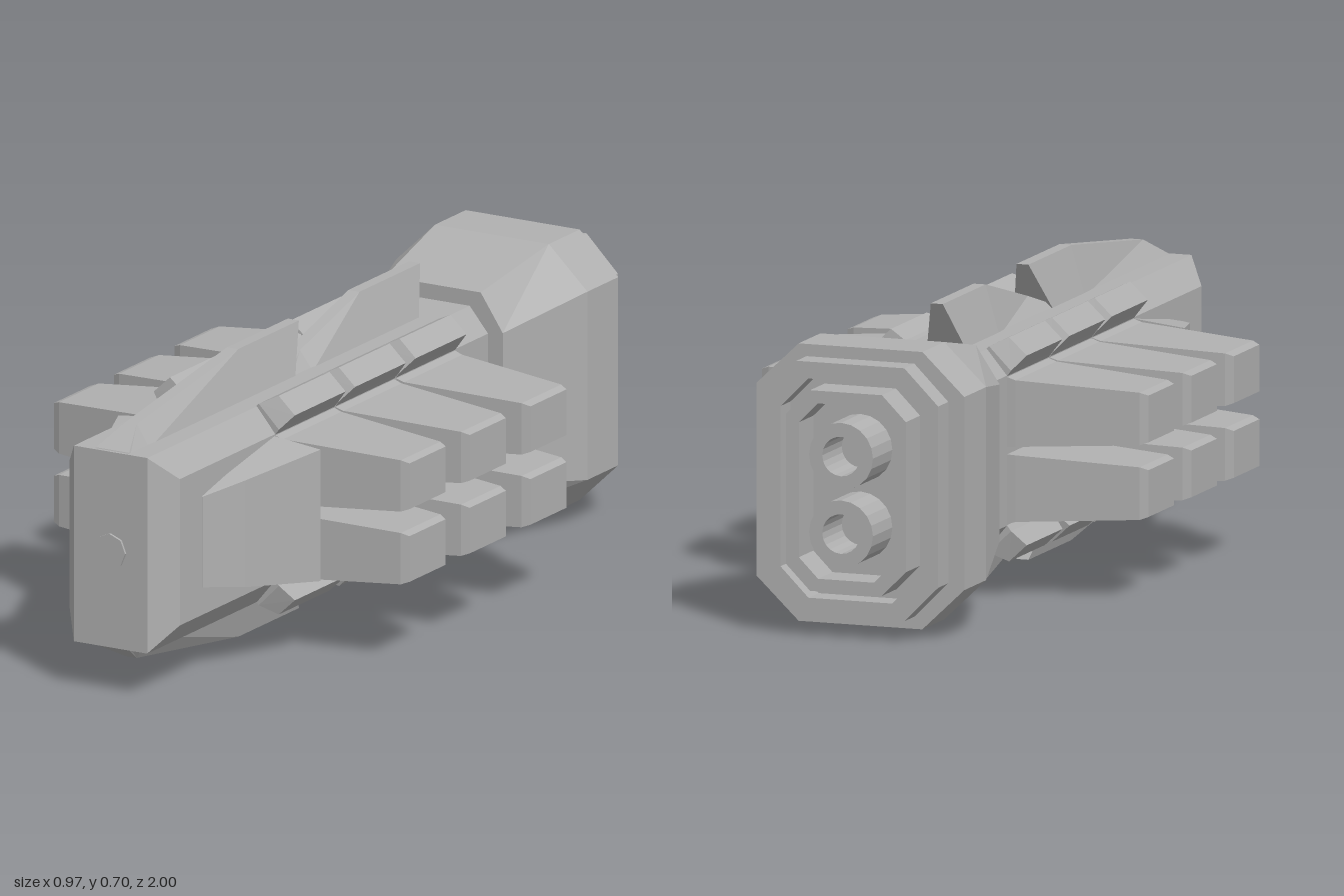
import * as THREE from 'three';

const CY = 0.355; // height of the long axis
const hullGrey = new THREE.MeshStandardMaterial({ color: 0xb0b0b0, flatShading: true });
hullGrey.name = 'hull grey';

// Skin a row of matching convex sections, close both ends, and face it outwards
function loft(sections) {
  const tris = [];
  const n = sections[0].length;
  for (let s = 0; s < sections.length - 1; s++) {
    const a = sections[s], b = sections[s + 1];
    for (let i = 0; i < n; i++) {
      const j = (i + 1) % n;
      tris.push([a[i], a[j], b[j]], [a[i], b[j], b[i]]);
    }
  }
  const first = sections[0], last = sections[sections.length - 1];
  for (let i = 1; i < n - 1; i++) {
    tris.push([first[0], first[i + 1], first[i]], [last[0], last[i], last[i + 1]]);
  }
  const v = (p) => new THREE.Vector3(...p);
  const origin = v(first[0]);
  let volume = 0;
  for (const [a, b, c] of tris) {
    volume += v(a).sub(origin).dot(v(b).sub(origin).cross(v(c).sub(origin)));
  }
  if (volume < 0) tris.forEach((t) => t.reverse());
  const g = new THREE.BufferGeometry();
  g.setAttribute('position', new THREE.Float32BufferAttribute(tris.flat(2), 3));
  g.computeVertexNormals();
  return g;
}

// Chamfered rectangle outline around the origin
const octagon = (w, h, cx, cy) => [
  [w, -h + cy], [w, h - cy], [w - cx, h], [-w + cx, h],
  [-w, h - cy], [-w, -h + cy], [-w + cx, -h], [w - cx, -h],
];
const octSection = (z, ...size) => octagon(...size).map(([x, y]) => [x, CY + y, z]);

// Ring running between two z values
function ringGeometry(outer, hole, z0, z1) {
  outer.holes.push(hole);
  const g = new THREE.ExtrudeGeometry(outer, { depth: z1 - z0, bevelEnabled: false, curveSegments: 10 });
  return g.translate(0, CY, z0);
}
const octShape = (...size) => new THREE.Shape(octagon(...size).map((p) => new THREE.Vector2(...p)));

export function createModel() {
  const model = new THREE.Group();
  const add = (name, geometry) => {
    const mesh = new THREE.Mesh(geometry, hullGrey);
    mesh.name = name;
    model.add(mesh);
    return mesh;
  };
  // Mirror a list of sections across x and around the long axis
  const mirror = (sections, sx, sy) =>
    sections.map((s) => s.map(([x, y, z]) => [x * sx, CY + y * sy, z]));

  // Hull with a tapered prow
  add('hull', loft([
    octSection(-0.5, 0.15, 0.238, 0.05, 0.06),
    octSection(0.93, 0.15, 0.238, 0.05, 0.06),
    octSection(0.994, 0.1, 0.238, 0.0005, 0.0005),
  ]));

  // Bow port
  const port = add('bowPort', new THREE.CylinderGeometry(0.043, 0.043, 0.012, 8).rotateX(Math.PI / 2));
  port.position.set(0, 0.352, 0.994);

  // Fins above and below: [base z, top z, top height, top half width]
  const fins = {
    frontFin: [[0.99, 0.985, 0.24, 0.045], [0.9, 0.9, 0.285, 0.015], [0.44, 0.44, 0.35, 0.015], [0.24, 0.165, 0.35, 0.015]],
    rearFin: [[0.26, 0.26, 0.24, 0.045], [0.16, 0.16, 0.277, 0.015], [-0.11, -0.11, 0.35, 0.015], [-0.32, -0.385, 0.35, 0.015]],
  };
  for (const [name, stations] of Object.entries(fins)) {
    const sections = stations.map(([zb, zt, h, w]) =>
      [[-0.05, 0.23, zb], [0.05, 0.23, zb], [w, h, zt], [-w, h, zt]]);
    for (const sy of [1, -1]) add(name, loft(mirror(sections, 1, sy)));
  }

  // Cheek wedges on both sides of the prow: [z, outer x, outer half height, base half height]
  const cheek = [[0.5, 0.275, 0.16, 0.175], [0.72, 0.203, 0.13, 0.137], [0.83, 0.152, 0.11, 0.112]]
    .map(([z, x, h, b]) => [[0.14, -b, z], [x, -h, z], [x, h, z], [0.14, b, z]]);
  for (const sx of [1, -1]) add('cheekWedge', loft(mirror(cheek, sx, 1)));

  // Side pods and corner blocks, three bays along the hull
  for (const zc of [0.363, 0.09, -0.185]) {
    // [x, y low, y high, half length]
    const pod = [[0.14, 0.008, 0.178, 0.134], [0.17, 0.01, 0.168, 0.132], [0.465, 0.026, 0.151, 0.09], [0.484, 0.033, 0.144, 0.082]]
      .map(([x, lo, hi, d]) => [[x, lo, zc - d], [x, hi, zc - d], [x, hi, zc + d], [x, lo, zc + d]]);
    // [lower edge x, y, upper edge x, y, half length]
    const block = [[0.145, 0.17, 0.09, 0.23, 0.134], [0.16, 0.19, 0.105, 0.245, 0.134], [0.192, 0.225, 0.148, 0.266, 0.115]]
      .map(([x0, y0, x1, y1, d]) => [[x0, y0, zc - d], [x1, y1, zc - d], [x1, y1, zc + d], [x0, y0, zc + d]]);
    for (const sx of [1, -1]) {
      for (const sy of [1, -1]) {
        add('sidePod', loft(mirror(pod, sx, sy)));
        add('cornerBlock', loft(mirror(block, sx, sy)));
      }
    }
  }

  // Flared engine housing
  add('engineHousing', loft([
    octSection(-0.468, 0.19, 0.275, 0.06, 0.09),
    octSection(-0.735, 0.26, 0.329, 0.105, 0.1),
    octSection(-0.875, 0.26, 0.329, 0.105, 0.1),
  ]));

  // Stepped rings around the exhaust bay
  add('outerExhaustRing', ringGeometry(
    octShape(0.22, 0.3, 0.085, 0.085), octShape(0.175, 0.26, 0.07, 0.07), -0.94, -0.87));
  add('innerExhaustRing', ringGeometry(
    octShape(0.15, 0.238, 0.06, 0.06), octShape(0.118, 0.208, 0.048, 0.048), -0.968, -0.87));

  // Twin nozzles
  for (const y of [0.092, -0.092]) {
    const nozzle = new THREE.Shape().absarc(0, y, 0.08, 0, Math.PI * 2);
    const bore = new THREE.Path().absarc(0, y, 0.047, 0, Math.PI * 2);
    add('nozzle', ringGeometry(nozzle, bore, -1, -0.87));
  }

  return model;
}
